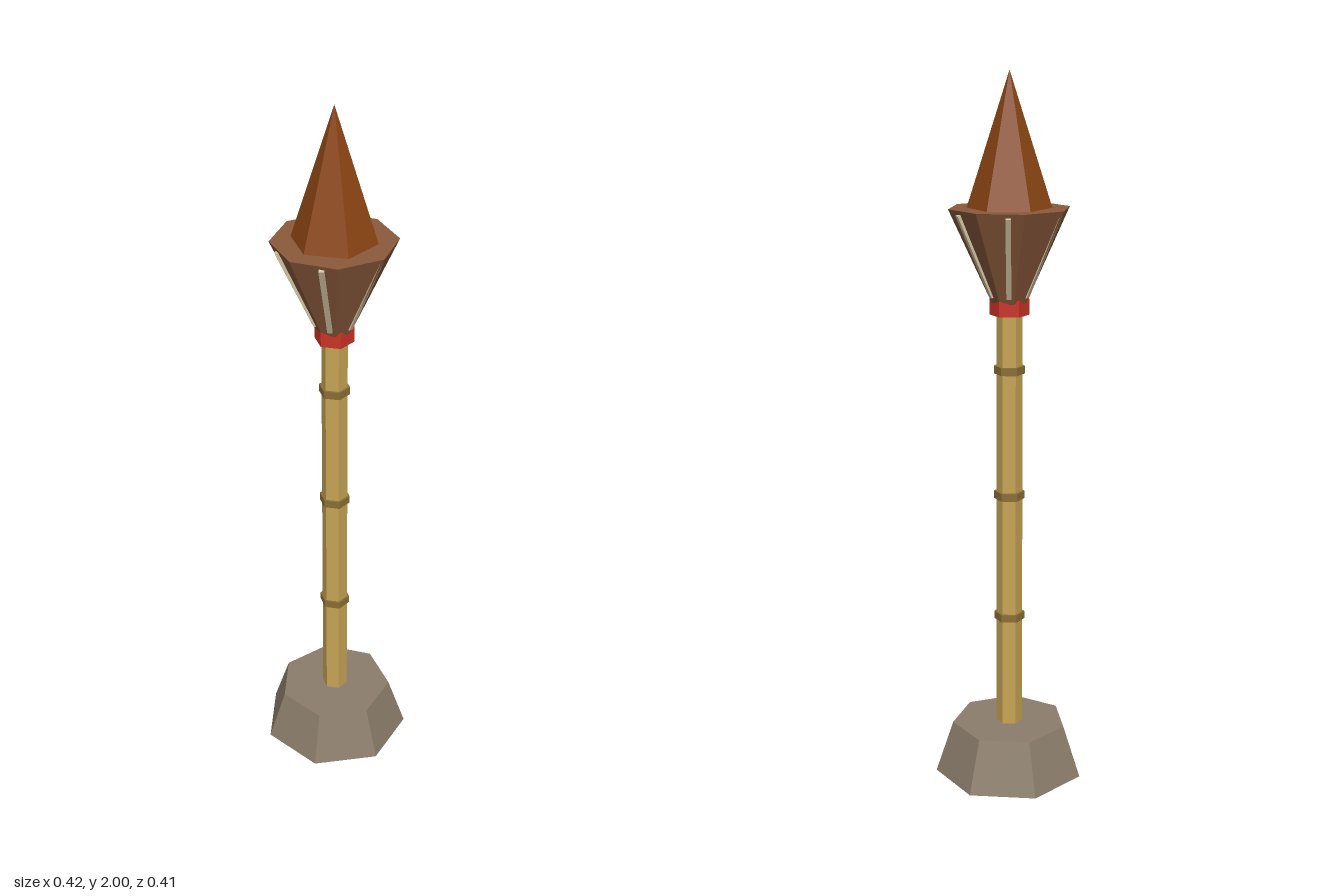
import * as THREE from 'three';

const mat = (name, color) => {
  const m = new THREE.MeshStandardMaterial({ color, flatShading: true });
  m.name = name;
  return m;
};

export function createModel() {
  const stone = mat('stone', 0x8b7d6b);
  const bamboo = mat('bamboo', 0xc8a555);
  const darkBamboo = mat('dark bamboo', 0x8b6f35);
  const red = mat('red binding', 0xcc3328);
  const wicker = mat('wicker', 0x8b5a3c);
  const straw = mat('straw', 0xd2c3a0);
  const flameBrown = mat('flame brown', 0x8b4513);

  const torch = new THREE.Group();
  torch.name = 'torch';
  torch.position.z = 0.01;

  // Faceted upright part between two heights
  const prism = (name, material, rTop, rBottom, y0, y1, sides, turn = 0) => {
    const g = new THREE.CylinderGeometry(rTop, rBottom, y1 - y0, sides);
    const mesh = new THREE.Mesh(g, material);
    mesh.name = name;
    mesh.position.y = (y0 + y1) / 2;
    mesh.rotation.y = turn;
    torch.add(mesh);
  };

  // Seven-sided foot with one corner to the back
  prism('stoneBase', stone, 0.165, 0.215, 0, 0.15, 7, Math.PI);

  // Pole and its joints
  prism('pole', bamboo, 0.036, 0.037, 0.14, 1.36, 6);
  [0.477, 0.838, 1.197].forEach((y, i) =>
    prism('poleJoint' + (i + 1), darkBamboo, 0.043, 0.043, y - 0.011, y + 0.011, 6));

  // Head: binding, basket and flame
  prism('binding', red, 0.054, 0.054, 1.35, 1.395, 6);
  prism('basket', wicker, 0.168, 0.05, 1.385, 1.64, 8);
  const flame = new THREE.Mesh(new THREE.ConeGeometry(0.115, 0.36, 6), flameBrown);
  flame.name = 'flame';
  flame.position.y = 1.82;
  torch.add(flame);

  // Six leaning slats set into the basket
  const slatGeometry = new THREE.BoxGeometry(0.014, 0.248, 0.01);
  for (let i = 0; i < 6; i++) {
    const arm = new THREE.Group();
    arm.name = 'slat' + (i + 1);
    arm.rotation.y = Math.PI / 6 + (i * Math.PI) / 3;
    const slat = new THREE.Mesh(slatGeometry, straw);
    slat.name = 'slatStrip';
    slat.position.set(0, 1.515, 0.104);
    slat.rotation.x = 0.42;
    arm.add(slat);
    torch.add(arm);
  }

  const model = new THREE.Group();
  model.name = 'standingTorch';
  model.add(torch);
  return model;
}
